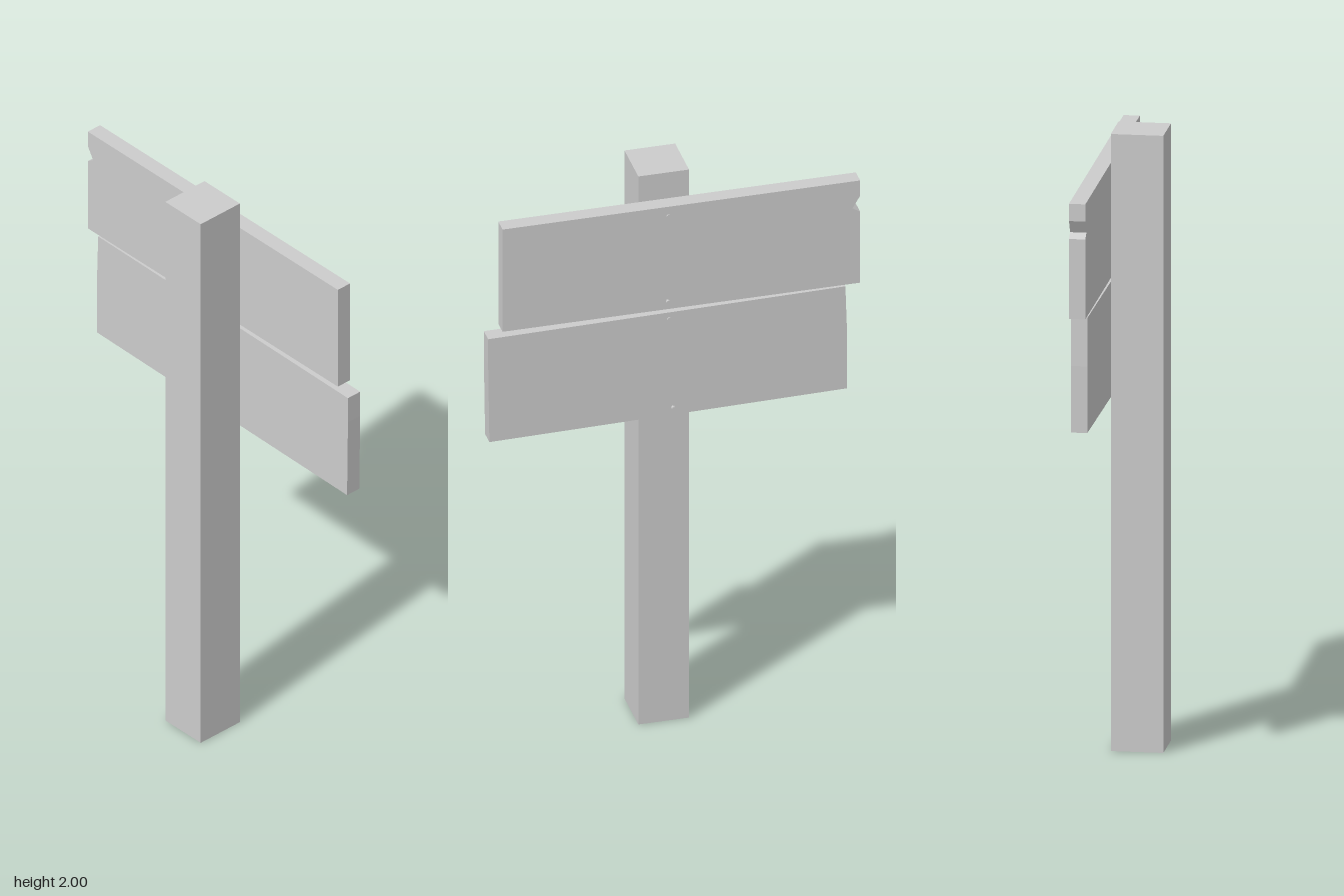
import * as THREE from 'three';

const material = new THREE.MeshStandardMaterial({ color: 0xcccccc, flatShading: true });

function addMesh(group, name, geometry) {
  const mesh = new THREE.Mesh(geometry, material);
  mesh.name = name;
  group.add(mesh);
  return mesh;
}

// Plank outline given as [z, y] corners, extruded along +x from the post face
function plank(corners) {
  const shape = new THREE.Shape(corners.map(([z, y]) => new THREE.Vector2(-z, y)));
  return new THREE.ExtrudeGeometry(shape, { depth: 0.052, bevelEnabled: false })
    .rotateY(Math.PI / 2)
    .translate(0.05, 0, 0);
}

export function createModel() {
  const sign = new THREE.Group();
  sign.name = 'signpost';

  // Square post
  const post = addMesh(sign, 'post', new THREE.BoxGeometry(0.167, 2, 0.165));
  post.position.set(-0.0335, 1, 0.021);

  // Upper board with a chipped rear edge
  addMesh(sign, 'upperBoard', plank([
    [0.56, 1.533], [-0.605, 1.533], [-0.605, 1.792], [-0.58, 1.808],
    [-0.605, 1.85], [-0.605, 1.906], [0.56, 1.906],
  ]));

  // Lower board, slightly crooked
  addMesh(sign, 'lowerBoard', plank([
    [0.603, 1.137], [-0.562, 1.154], [-0.562, 1.37], [-0.557, 1.527], [0.607, 1.513], [0.607, 1.42],
  ]));

  // Nail heads: [y, z, protrusion]
  const nails = [[1.873, 0.02, 0.005], [1.563, 0.022, 0.009], [1.497, 0.018, 0.005], [1.173, 0.005, 0.011]];
  for (const [y, z, out] of nails) {
    const length = out + 0.02;
    const nail = addMesh(sign, 'nail', new THREE.CylinderGeometry(0.006, 0.006, length, 8).rotateZ(-Math.PI / 2));
    nail.position.set(0.102 + out - length / 2, y, z);
  }

  return sign;
}
